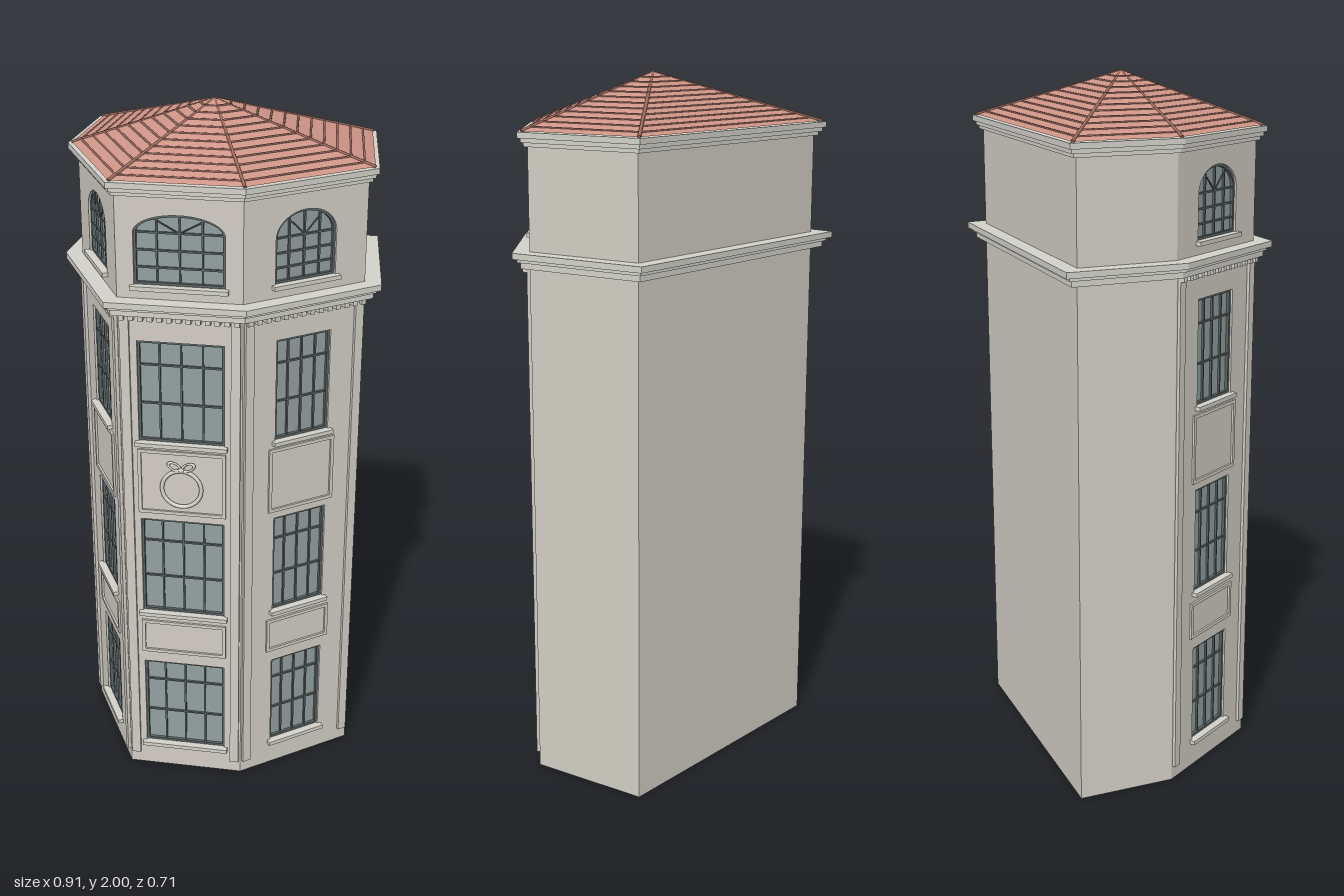
import * as THREE from 'three';

const mat = (name, color) => new THREE.MeshStandardMaterial({ name, color });

// Footprint corners as [x, z], running along the front from -x to +x
const PLAN = [[-0.4, -0.305], [-0.415, -0.025], [-0.235, 0.31], [0.105, 0.31], [0.405, 0.08], [0.37, -0.27]]
  .map(([x, z]) => new THREE.Vector2(x, z));
const APEX = new THREE.Vector3(-0.025, 2.0, -0.005);
const RECESS = 0.02, MARGIN = 0.035, TOP = 1.84;

const edgeOf = (i) => {
  const a = PLAN[i], b = PLAN[(i + 1) % PLAN.length];
  const d = b.clone().sub(a), length = d.length();
  d.normalize();
  return { a, b, d, length, n: new THREE.Vector2(-d.y, d.x) };
};

// Footprint grown outward by a fixed distance with mitred corners
function grow(dist) {
  return PLAN.map((p, i) => {
    const n0 = edgeOf((i + PLAN.length - 1) % PLAN.length).n, n1 = edgeOf(i).n;
    return p.clone().addScaledVector(n0.clone().add(n1), dist / (1 + n0.dot(n1)));
  });
}

function prism(points, y0, y1) {
  const shape = new THREE.Shape(points.map((p) => new THREE.Vector2(p.x, -p.y)));
  return new THREE.ExtrudeGeometry(shape, { depth: y1 - y0, bevelEnabled: false })
    .rotateX(-Math.PI / 2).translate(0, y0, 0);
}

// Window outline, square-headed or with an elliptical arch
function outline(T, w, y0, ys, rise) {
  const s = new T();
  s.moveTo(-w / 2, y0);
  s.lineTo(w / 2, y0);
  s.lineTo(w / 2, ys);
  if (rise) s.absellipse(0, ys, w / 2, rise, 0, Math.PI, false, 0);
  else s.lineTo(-w / 2, ys);
  s.closePath();
  return s;
}

export function createModel() {
  const root = new THREE.Group();
  root.name = 'tower';
  const wall = mat('wall stone', 0xd2cec5);
  const trim = mat('trim stone', 0xd3d2ca);
  const glass = mat('window glass', 0x93a0a1);
  const bars = mat('window bars', 0x5a6466);
  const tile = mat('roof tile', 0xce9587);
  const ridge = mat('ridge tile', 0x9c6a5e);

  const add = (parent, name, geo, material) => {
    const m = new THREE.Mesh(geo, material);
    m.name = name;
    parent.add(m);
    return m;
  };
  const box = (parent, name, material, w, h, d, x, y, z) =>
    add(parent, name, new THREE.BoxGeometry(w, h, d).translate(x, y, z), material);
  const rod = (parent, name, a, b, r, material) => {
    const v = b.clone().sub(a);
    const m = add(parent, name, new THREE.CylinderGeometry(r, r, v.length(), 6), material);
    m.position.copy(a).add(b).multiplyScalar(0.5);
    m.quaternion.setFromUnitVectors(new THREE.Vector3(0, 1, 0), v.normalize());
  };

  // Solid core, notched behind the three windowed faces
  const core = [];
  PLAN.forEach((p, i) => {
    core.push(p);
    if (i < 1 || i > 3) return;
    const { a, b, d, n } = edgeOf(i);
    const s = a.clone().addScaledVector(d, MARGIN), e = b.clone().addScaledVector(d, -MARGIN);
    core.push(s, s.clone().addScaledVector(n, -RECESS), e.clone().addScaledVector(n, -RECESS), e);
  });
  add(root, 'towerCore', prism(core, 0, TOP), wall);

  // Cornices as stacked bands: [bottom, top, overhang]
  [[1.49, 1.507, 0.024], [1.507, 1.517, 0.032], [1.517, 1.534, 0.045]]
    .forEach(([y0, y1, o]) => add(root, 'lowerCornice', prism(grow(o), y0, y1), trim));
  [[1.815, 1.826, 0.01], [1.826, 1.838, 0.018], [1.838, 1.854, 0.026]]
    .forEach(([y0, y1, o]) => add(root, 'upperCornice', prism(grow(o), y0, y1), trim));

  function addWindow(face, { w, y0, ys, rise }) {
    const g = new THREE.Group();
    g.name = 'window';
    face.add(g);
    const pane = new THREE.ShapeGeometry(outline(THREE.Shape, w, y0, ys, rise), 16);
    add(g, 'glass', pane.translate(0, 0, -0.015), glass);
    const frame = outline(THREE.Shape, w, y0, ys, rise);
    const t = 0.007;
    frame.holes.push(outline(THREE.Path, w - 2 * t, y0 + t, rise ? ys : ys - t, rise ? rise - t : 0));
    const frameGeo = new THREE.ExtrudeGeometry(frame, { depth: 0.01, bevelEnabled: false, curveSegments: 16 });
    add(g, 'windowFrame', frameGeo.translate(0, 0, -0.016), bars);
    // Upright bars follow the arch, cross bars divide the height
    for (const k of [-0.25, 0, 0.25]) {
      const top = ys + rise * Math.sqrt(1 - 4 * k * k);
      box(g, 'uprightBar', bars, 0.005, top - y0, 0.006, k * w, (top + y0) / 2, -0.012);
    }
    for (const f of rise ? [0.33, 0.66, 1] : [0.38, 0.76])
      box(g, 'crossBar', bars, w, 0.005, 0.006, 0, y0 + (ys - y0) * f, -0.012);
    if (rise) {
      for (const s of [-1, 1]) {
        const end = new THREE.Vector3(s * w * 0.3, ys + rise * 0.78, -0.011);
        rod(g, 'fanBar', new THREE.Vector3(0, ys, -0.011), end, 0.002, bars);
      }
    }
    box(g, 'sill', trim, w + 0.02, 0.012, 0.022, 0, y0 - 0.006, 0.005);
  }

  function addPanel(face, w, y0, y1) {
    const s = outline(THREE.Shape, w, y0, y1, 0), t = 0.01;
    s.holes.push(outline(THREE.Path, w - 2 * t, y0 + t, y1 - t, 0));
    add(face, 'panelMoulding', new THREE.ExtrudeGeometry(s, { depth: 0.006, bevelEnabled: false }), wall);
  }

  // Three windowed faces
  for (let i = 1; i <= 3; i++) {
    const { a, b, n, length } = edgeOf(i);
    const wide = i === 2;
    const face = new THREE.Group();
    face.name = wide ? 'frontFace' : i === 1 ? 'rightFrontFace' : 'leftFrontFace';
    face.position.set((a.x + b.x) / 2, 0, (a.y + b.y) / 2);
    face.rotation.y = Math.atan2(n.x, n.y);
    root.add(face);

    const w = wide ? 0.24 : 0.17;
    const windows = [[0.085, 0.378], [0.557, 0.865], [1.112, 1.412]]
      .map(([y0, ys]) => ({ w, y0, ys, rise: 0 }));
    windows.push({ w: wide ? 0.245 : 0.185, y0: 1.572, ys: wide ? 1.715 : 1.695, rise: wide ? 0.052 : 0.072 });

    const slab = outline(THREE.Shape, length - 2 * MARGIN, 0, TOP, 0);
    windows.forEach((o) => slab.holes.push(outline(THREE.Path, o.w, o.y0, o.ys, o.rise)));
    const slabGeo = new THREE.ExtrudeGeometry(slab, { depth: RECESS, bevelEnabled: false, curveSegments: 16 });
    add(face, 'faceWall', slabGeo.translate(0, 0, -RECESS), wall);
    windows.forEach((o) => addWindow(face, o));

    addPanel(face, wide ? 0.25 : 0.21, 0.415, 0.525);
    addPanel(face, wide ? 0.25 : 0.21, 0.888, 1.088);

    // Corner pilasters and the row of dentils
    for (const s of [-1, 1])
      box(face, 'pilaster', wall, 0.026, 1.45, 0.01, s * (length / 2 - 0.018), 0.765, 0.004);
    const count = Math.round(length / 0.027);
    for (let k = 0; k < count; k++)
      box(face, 'dentil', trim, 0.014, 0.014, 0.02, ((k + 0.5) / count - 0.5) * length, 1.483, 0.01);

    // Wreath with a bow
    if (wide) {
      add(face, 'wreath', new THREE.TorusGeometry(0.056, 0.006, 8, 32).translate(0, 0.974, 0.007), trim);
      for (const s of [-1, 1]) {
        const loop = new THREE.TorusGeometry(0.014, 0.004, 6, 14).scale(1.3, 0.75, 1).rotateZ(s * 0.5);
        add(face, 'bowLoop', loop.translate(s * 0.02, 1.043, 0.009), trim);
      }
      add(face, 'bowKnot', new THREE.SphereGeometry(0.008, 10, 8).translate(0, 1.034, 0.01), trim);
    }
  }

  // Hipped roof with tile courses and ridge caps
  const eave = grow(0.015).map((p) => new THREE.Vector3(p.x, 1.856, p.y));
  const COURSES = 12;
  eave.forEach((a, i) => {
    const b = eave[(i + 1) % eave.length];
    const geo = new THREE.BufferGeometry().setFromPoints([a, b, APEX]);
    geo.computeVertexNormals();
    add(root, 'roofSlope', geo, tile);
    for (let k = 1; k < COURSES; k++) {
      const t = (k - 0.2) / COURSES;
      rod(root, 'tileCourse', a.clone().lerp(APEX, t), b.clone().lerp(APEX, t), 0.003, ridge);
    }
    rod(root, 'ridgeCap', a, APEX.clone().setY(1.996), 0.005, ridge);
  });
  return root;
}
